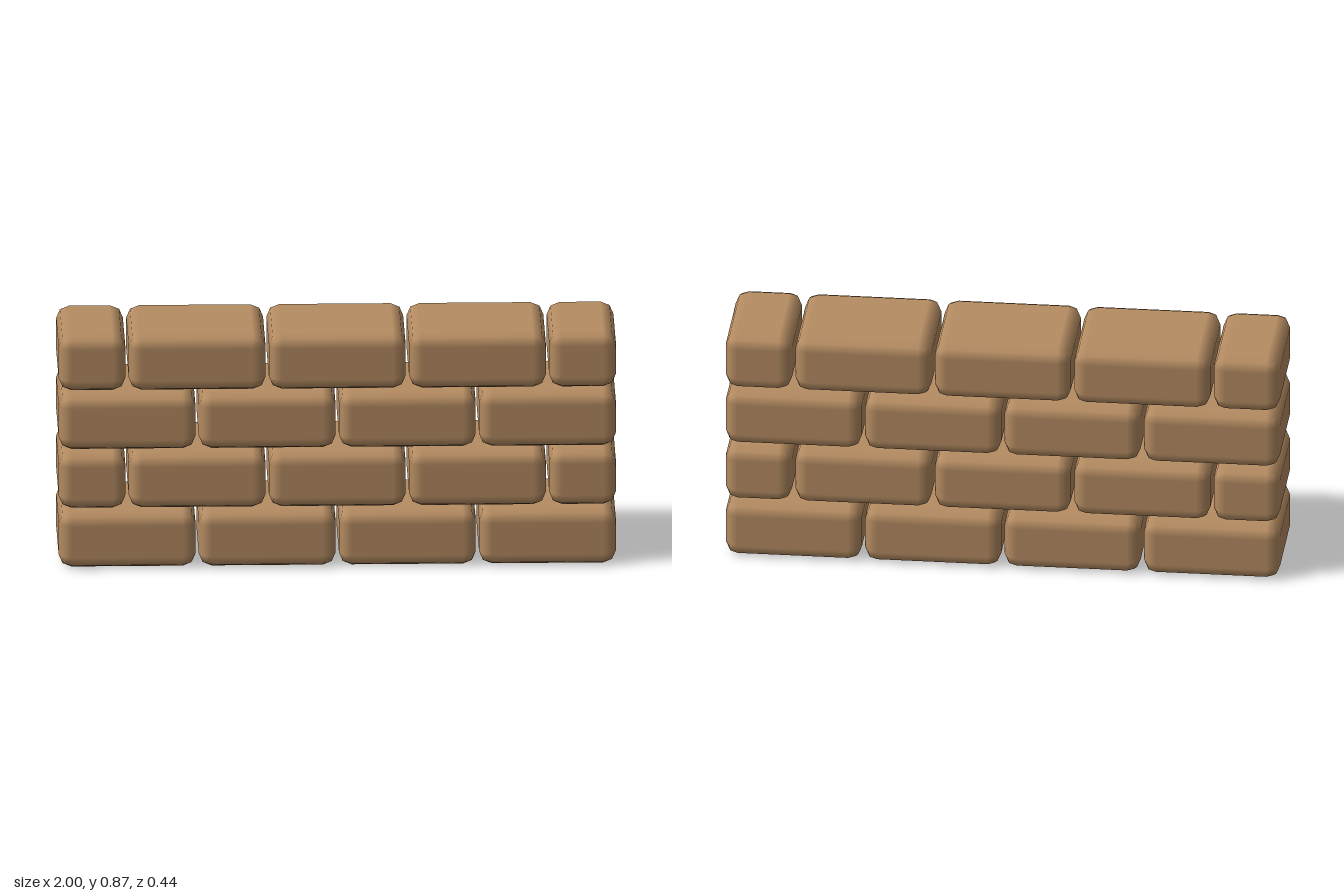
import * as THREE from 'three';
import { RoundedBoxGeometry } from 'three/addons/geometries/RoundedBoxGeometry.js';

const LENGTH = 0.491, HEIGHT = 0.209, DEPTH = 0.438, GAP = 0.012, RADIUS = 0.046;
const PITCH = LENGTH + GAP;
const HALF_LENGTH = 1 - 1.5 * PITCH - GAP / 2; // end bricks of the staggered courses

export function createModel() {
  const wall = new THREE.Group();
  wall.name = 'brickWall';

  const clay = new THREE.MeshStandardMaterial({ color: 0xb58c62 });
  clay.name = 'clay';

  const fullBrick = new RoundedBoxGeometry(LENGTH, HEIGHT, DEPTH, 1, RADIUS);
  const halfBrick = new RoundedBoxGeometry(HALF_LENGTH, HEIGHT, DEPTH, 1, RADIUS);

  for (let row = 0; row < 4; row++) {
    const course = new THREE.Group();
    course.name = `course${row + 1}`;
    course.position.y = HEIGHT / 2 + row * (HEIGHT + GAP);
    wall.add(course);

    const add = (geometry, name, x) => {
      const brick = new THREE.Mesh(geometry, clay);
      brick.name = name;
      brick.position.x = x;
      course.add(brick);
    };

    // Even courses hold four full bricks, odd ones three plus two half bricks
    const count = row % 2 ? 3 : 4;
    for (let i = 0; i < count; i++) {
      add(fullBrick, 'fullBrick', (i - (count - 1) / 2) * PITCH);
    }
    if (row % 2) {
      for (const side of [-1, 1]) add(halfBrick, 'halfBrick', side * (1 - HALF_LENGTH / 2));
    }
  }
  return wall;
}
